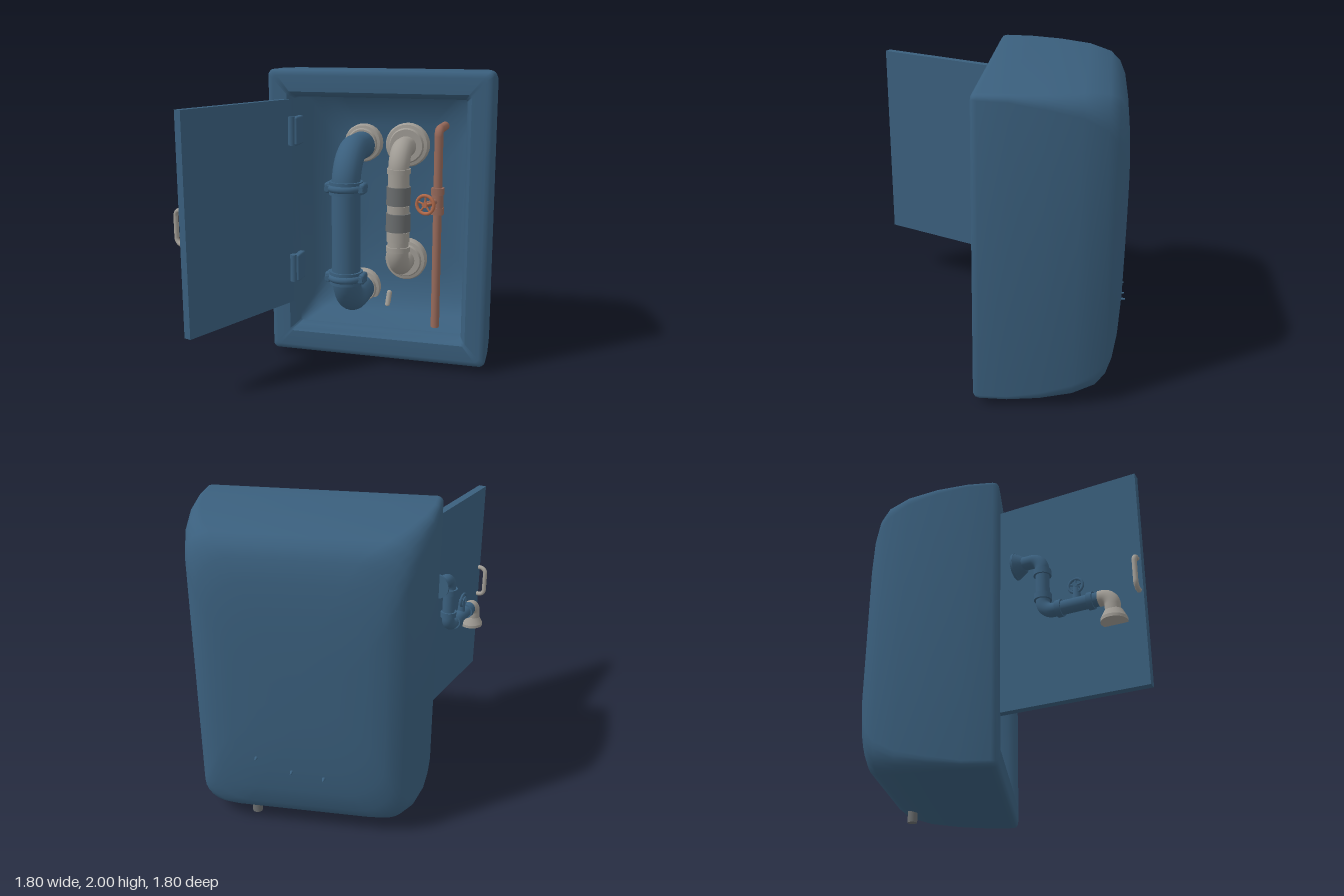
import * as THREE from 'three';
import { toCreasedNormals } from 'three/addons/utils/BufferGeometryUtils.js';
import { RoundedBoxGeometry } from 'three/addons/geometries/RoundedBoxGeometry.js';

const mat = (name, color) => {
  const m = new THREE.MeshStandardMaterial({ color });
  m.name = name;
  return m;
};
const V = (x, y, z) => new THREE.Vector3(x, y, z);

export function createModel() {
  const blue = mat('blue paint', 0x3a5f7d);
  const pale = mat('pale metal', 0xa09c95);
  const grey = mat('grey metal', 0x6a6d6e);
  const copper = mat('copper', 0x96695a);
  const orange = mat('orange wheel', 0xb0694a);

  const model = new THREE.Group();
  model.name = 'pipeCabinet';

  const add = (parent, name, geo, material, x = 0, y = 0, z = 0) => {
    const mesh = new THREE.Mesh(geo, material);
    mesh.name = name;
    mesh.position.set(x, y, z);
    parent.add(mesh);
    return mesh;
  };
  const cyl = (r1, r2, h, n = 24) => new THREE.CylinderGeometry(r1, r2, h, n);

  // Pipe through corner points, with rounded bends
  const pipe = (points, r, bend) => {
    const path = new THREE.CurvePath();
    let from = points[0];
    for (let i = 1; i < points.length - 1; i++) {
      const p = points[i];
      const a = p.clone().add(points[i - 1].clone().sub(p).setLength(bend));
      const b = p.clone().add(points[i + 1].clone().sub(p).setLength(bend));
      const k = 0.552;
      path.add(new THREE.LineCurve3(from, a));
      path.add(new THREE.CubicBezierCurve3(a, a.clone().lerp(p, k), b.clone().lerp(p, k), b));
      from = b;
    }
    path.add(new THREE.LineCurve3(from, points[points.length - 1]));
    return new THREE.TubeGeometry(path, 72, r, 20);
  };

  // Loft of rounded rectangles: [z, half width, half height, corner radius]
  const loft = (sections, cx, cy) => {
    const steps = 6, pos = [], index = [];
    for (const [z, w, h, rad] of sections) {
      const r = Math.min(rad, w, h);
      for (let c = 0; c < 4; c++) {
        const sx = c === 0 || c === 3 ? 1 : -1, sy = c < 2 ? 1 : -1;
        for (let s = 0; s <= steps; s++) {
          const t = (c + s / steps) * Math.PI / 2;
          pos.push(cx + sx * (w - r) + r * Math.cos(t), cy + sy * (h - r) + r * Math.sin(t), z);
        }
      }
    }
    const n = 4 * (steps + 1);
    for (let i = 0; i < sections.length - 1; i++) {
      for (let j = 0; j < n; j++) {
        const a = i * n + j, b = i * n + (j + 1) % n;
        index.push(a, b, b + n, a, b + n, a + n);
      }
    }
    const geo = new THREE.BufferGeometry();
    geo.setAttribute('position', new THREE.Float32BufferAttribute(pos, 3));
    geo.setIndex(index);
    return toCreasedNormals(geo, 0.75);
  };

  // Cabinet: domed back, sides, front frame, then the cavity
  add(model, 'cabinetShell', loft([
    [-0.885, 0, 0, 0], [-0.883, 0.25, 0.3, 0.2], [-0.875, 0.42, 0.52, 0.25], [-0.86, 0.52, 0.7, 0.25],
    [-0.835, 0.58, 0.83, 0.24], [-0.8, 0.625, 0.895, 0.2], [-0.74, 0.662, 0.937, 0.16],
    [-0.6, 0.7, 0.965, 0.11], [-0.4, 0.735, 0.975, 0.07], [-0.2, 0.747, 0.98, 0.04],
    [-0.03, 0.75, 0.98, 0.035], [-0.005, 0.745, 0.975, 0.035], [0.008, 0.73, 0.96, 0.03], [0.012, 0.71, 0.94, 0.03],
  ].concat([
    [0.012, 0.615, 0.835, 0.02], [-0.005, 0.6, 0.82, 0.02], [-0.05, 0.58, 0.8, 0.015], [-0.13, 0.58, 0.8, 0.015],
    [-0.13, 0.67, 0.89, 0.04], [-0.4, 0.65, 0.87, 0.06], [-0.55, 0.62, 0.83, 0.1],
    [-0.64, 0.55, 0.74, 0.15], [-0.69, 0.42, 0.55, 0.18], [-0.71, 0.2, 0.25, 0.18], [-0.715, 0, 0, 0],
  ]), 0.15, 1.02), blue);

  // Wall flange: dished disc with a raised collar, facing +z
  const flange = (x, y, r) => {
    const profile = [[0, 0], [r, 0], [r, 0.08], [r * 0.94, 0.1], [r * 0.8, 0.105], [r * 0.74, 0.125], [0, 0.125]]
      .map(([a, b]) => new THREE.Vector2(a, b));
    const geo = toCreasedNormals(new THREE.LatheGeometry(profile, 28), 0.6);
    add(model, 'wallFlange', geo, pale, x, y, -0.73).rotation.x = Math.PI / 2;
  };

  // Large blue pipe with bolted couplings
  const bx = -0.11, bz = -0.18;
  flange(bx, 1.44, 0.14);
  flange(bx, 0.335, 0.14);
  add(model, 'bluePipe', pipe([V(bx, 1.43, -0.7), V(bx, 1.43, bz), V(bx, 0.34, bz), V(bx, 0.34, -0.7)], 0.1, 0.24), blue);
  for (const y of [1.19, 0.55]) {
    add(model, 'coupling', cyl(0.118, 0.118, 0.09), blue, bx, y, bz);
    add(model, 'couplingRidge', new THREE.TorusGeometry(0.108, 0.026, 10, 28), blue, bx, y, bz).rotation.x = Math.PI / 2;
    for (const s of [-1, 1]) {
      add(model, 'couplingEar', new RoundedBoxGeometry(0.07, 0.075, 0.1, 2, 0.018), blue, bx + s * 0.11, y, bz);
      const bolt = add(model, 'couplingBolt', cyl(0.022, 0.022, 0.15, 6), blue, bx + s * 0.117, y, bz);
      bolt.rotation.x = Math.PI / 2;
    }
  }

  // Pale pipe with threaded unions
  const gx = 0.22, gz = -0.37;
  flange(gx, 1.435, 0.16);
  flange(gx, 0.575, 0.155);
  add(model, 'palePipe', pipe([V(gx, 1.43, -0.7), V(gx, 1.43, gz), V(gx, 0.58, gz), V(gx, 0.58, -0.7)], 0.075, 0.14), pale);
  for (const [y, h, r, m] of [[1.29, 0.035, 0.084, pale], [1.115, 0.13, 0.086, grey], [1.02, 0.05, 0.08, pale],
    [0.925, 0.13, 0.088, grey], [0.82, 0.07, 0.082, pale], [0.73, 0.035, 0.086, pale]]) {
    add(model, 'palePipeUnion', cyl(r, r, h), m, gx, y, gz);
  }

  // Hand wheel in the xy plane
  const wheel = (parent, r, m, x, y, z) => {
    const g = new THREE.Group();
    g.name = 'handWheel';
    g.position.set(x, y, z);
    add(g, 'wheelRim', new THREE.TorusGeometry(r, r * 0.19, 10, 28), m);
    add(g, 'wheelHub', cyl(r * 0.3, r * 0.3, r * 0.5, 16), m).rotation.x = Math.PI / 2;
    for (let i = 0; i < 5; i++) {
      const a = i * Math.PI * 2 / 5;
      const spoke = add(g, 'wheelSpoke', cyl(r * 0.12, r * 0.12, r, 8), m, -Math.sin(a) * r / 2, Math.cos(a) * r / 2, 0);
      spoke.rotation.z = a;
    }
    parent.add(g);
    return g;
  };

  // Thin copper pipe with its valve
  const cx = 0.49, cz = -0.42;
  add(model, 'copperPipe', pipe([V(cx, 0.12, cz), V(cx, 1.58, cz), V(cx, 1.58, -0.7)], 0.031, 0.035), copper);
  add(model, 'valveBody', cyl(0.042, 0.042, 0.12), copper, cx, 1.08, cz);
  for (const y of [1.15, 1.01]) add(model, 'valveNut', cyl(0.05, 0.05, 0.05, 6), copper, cx, y, cz);
  add(model, 'valveStem', pipe([V(cx, 1.08, cz), V(0.43, 1.08, -0.27)], 0.02, 0), copper);
  wheel(model, 0.064, orange, 0.43, 1.08, -0.27).rotation.y = -0.25;

  // Drain stub, floor pin and rear bolts
  add(model, 'drainStub', cyl(0.033, 0.033, 0.12), grey, 0.485, 0.06, -0.685);
  const pin = add(model, 'floorPin', new THREE.CapsuleGeometry(0.02, 0.09, 6, 12), pale, 0.1, 0.27, -0.61);
  pin.rotation.set(-0.3, 0, -0.08);
  for (const [x, y] of [[0, 0.44], [0.2, 0.47], [0.42, 0.55]]) {
    add(model, 'rearBolt', cyl(0.005, 0.016, 0.07, 10), blue, x, y, -0.87).rotation.x = -Math.PI / 2;
  }

  // Hinges
  for (const y of [1.595, 0.65]) {
    add(model, 'hinge', new RoundedBoxGeometry(0.045, 0.19, 0.14, 2, 0.012), blue, -0.405, y, -0.03);
    add(model, 'hingeBarrel', cyl(0.025, 0.025, 0.19, 16), blue, -0.425, y, 0.03);
  }

  // Open door: local x runs along it, local z points out of its outer face
  const door = new THREE.Group();
  door.name = 'door';
  door.position.set(-0.435, 0, 0);
  door.rotation.y = -1.959;
  model.add(door);
  const T = 0.052, w = T + 0.045;
  add(door, 'doorPanel', new THREE.BoxGeometry(0.965, 1.405, T), blue, 0.4825, 1.1025, T / 2);
  add(door, 'doorHandle', pipe([V(0.94, 0.99, T - 0.01), V(0.94, 0.99, T + 0.055), V(0.94, 1.2, T + 0.055),
    V(0.94, 1.2, T - 0.01)], 0.015, 0.04), pale);

  // Small pipe run on the outer face of the door
  add(door, 'doorPipe', pipe([V(0.2, 1.34, w), V(0.35, 1.34, w), V(0.35, 0.97, w), V(0.74, 0.97, w)], 0.043, 0.07), blue);
  add(door, 'doorPipeFlare', cyl(0.045, 0.085, 0.06), blue, 0.205, 1.34, w - 0.01).rotation.z = -Math.PI / 2;
  add(door, 'doorPipeFlareCap', cyl(0.085, 0.085, 0.015), blue, 0.17, 1.34, w - 0.01).rotation.z = Math.PI / 2;
  for (const y of [1.24, 1.07]) add(door, 'doorPipeCollar', cyl(0.055, 0.055, 0.04), blue, 0.35, y, w);
  for (const x of [0.46, 0.66]) {
    add(door, 'doorPipeCollar', cyl(0.053, 0.053, 0.035), blue, x, 0.97, w).rotation.z = Math.PI / 2;
  }
  add(door, 'doorValveNeck', cyl(0.02, 0.028, 0.1, 16), blue, 0.57, 1.04, w);
  wheel(door, 0.045, blue, 0.57, 1.09, w + 0.01);
  add(door, 'doorPipeEnd', pipe([V(0.71, 0.97, w), V(0.79, 0.97, w), V(0.79, 0.83, w)], 0.047, 0.06), pale);
  add(door, 'doorPipeFoot', cyl(0.055, 0.08, 0.05), pale, 0.79, 0.85, w - 0.01);
  add(door, 'doorPipeFootCap', cyl(0.08, 0.08, 0.02), pale, 0.79, 0.815, w - 0.01);

  return model;
}
